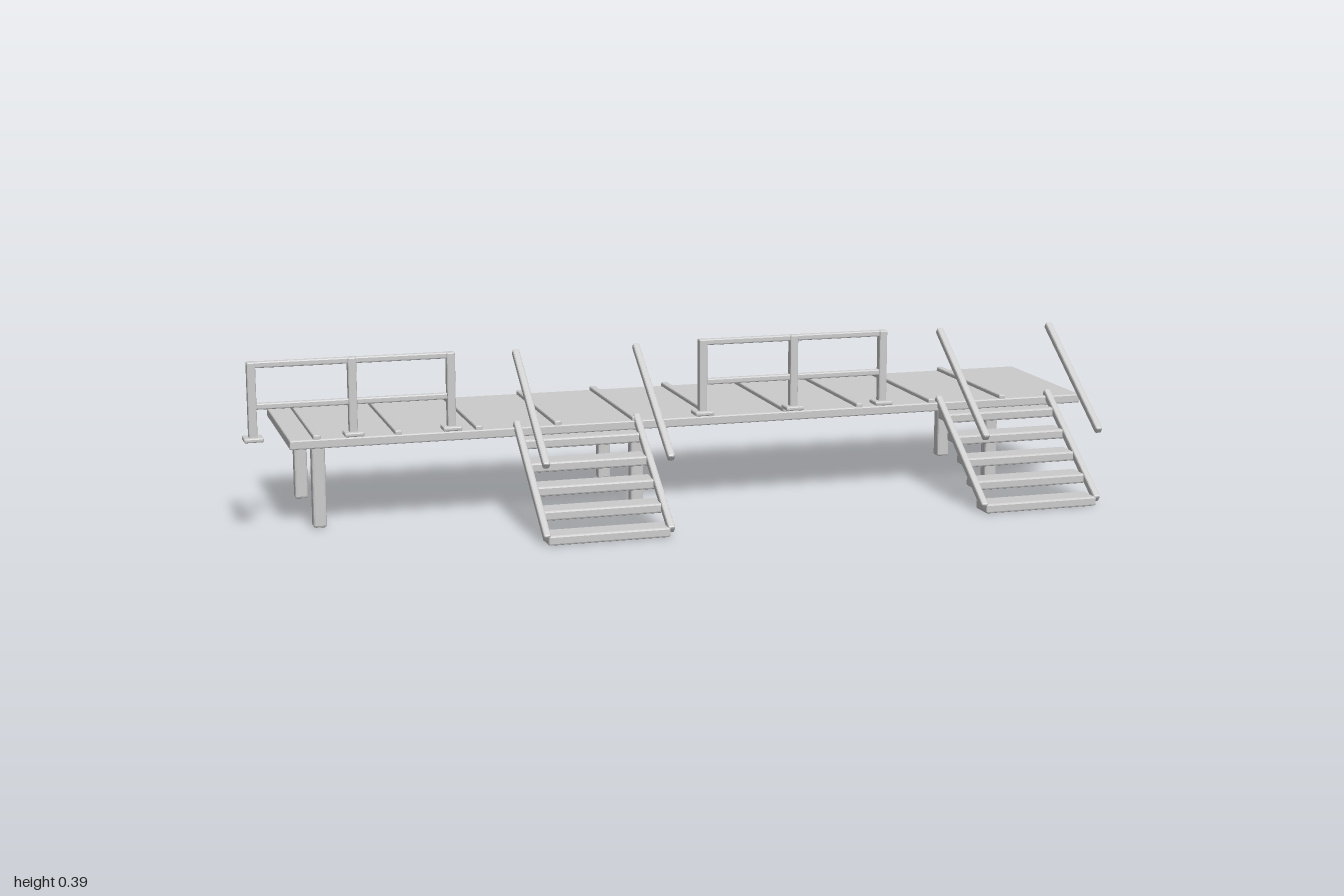
import * as THREE from 'three';
import { RoundedBoxGeometry } from 'three/addons/geometries/RoundedBoxGeometry.js';

const material = new THREE.MeshStandardMaterial({ color: 0xcccccc, flatShading: true });

// Chamfered timber, sized w x h x d and centred on (x, y, z)
function timber(parent, name, [w, h, d], [x, y, z], bevel = 0.003) {
  const mesh = new THREE.Mesh(new RoundedBoxGeometry(w, h, d, 1, bevel), material);
  mesh.name = name;
  mesh.position.set(x, y, z);
  parent.add(mesh);
  return mesh;
}

// Beam sloping from the foot (front, low) to the head (back, high)
function slopedBeam(parent, name, x, foot, head, thickness, width) {
  const dz = foot.z - head.z, dy = head.y - foot.y;
  const mesh = timber(parent, name, [width, thickness, Math.hypot(dz, dy)],
    [x, (foot.y + head.y) / 2, (foot.z + head.z) / 2], 0.004);
  mesh.rotation.x = Math.atan2(dy, dz);
}

// Open staircase with two stringers and two handrails
function makeStairs(x) {
  const stairs = new THREE.Group();
  stairs.name = 'stairs';
  stairs.position.x = x;
  for (let i = 0; i < 5; i++) {
    timber(stairs, 'step', [0.275, 0.022, 0.061], [0, 0.014 + i * 0.041, 0.302 - i * 0.059], 0.004);
  }
  for (const side of [-1, 1]) {
    slopedBeam(stairs, 'stringer', side * 0.14,
      { y: 0.018, z: 0.328 }, { y: 0.219, z: 0.041 }, 0.019, 0.016);
    slopedBeam(stairs, 'handrail', side * 0.14,
      { y: 0.179, z: 0.328 }, { y: 0.382, z: 0.039 }, 0.017, 0.016);
  }
  return stairs;
}

// Guard railing: three posts on base plates joined by two bars
function makeRailing(x) {
  const railing = new THREE.Group();
  railing.name = 'railing';
  railing.position.set(x, 0, 0.06);
  for (const px of [-0.22, 0, 0.22]) {
    timber(railing, 'basePlate', [0.043, 0.01, 0.043], [px, 0.221, 0]);
    timber(railing, 'railingPost', [0.019, 0.17, 0.021], [px, 0.307, 0]);
  }
  for (const y of [0.385, 0.293]) {
    timber(railing, 'railingBar', [0.44, 0.014, 0.014], [0, y, 0]);
  }
  return railing;
}

export function createModel() {
  const model = new THREE.Group();
  model.name = 'raisedWalkway';

  // Deck with raised battens across it
  timber(model, 'deck', [1.9, 0.021, 0.392], [0.05, 0.2, -0.139]);
  for (let i = 0; i < 10; i++) {
    timber(model, 'batten', [0.016, 0.014, 0.39], [-0.84 + i * 0.182, 0.213, -0.139]);
  }

  // Support legs in pairs
  for (const x of [-0.835, -0.103, 0.78]) {
    for (const z of [0.023, -0.27]) {
      timber(model, 'leg', [0.03, 0.19, 0.03], [x, 0.1, z], 0.005);
    }
  }

  for (const x of [-0.247, 0.778]) model.add(makeStairs(x));
  for (const x of [-0.76, 0.266]) model.add(makeRailing(x));
  return model;
}
